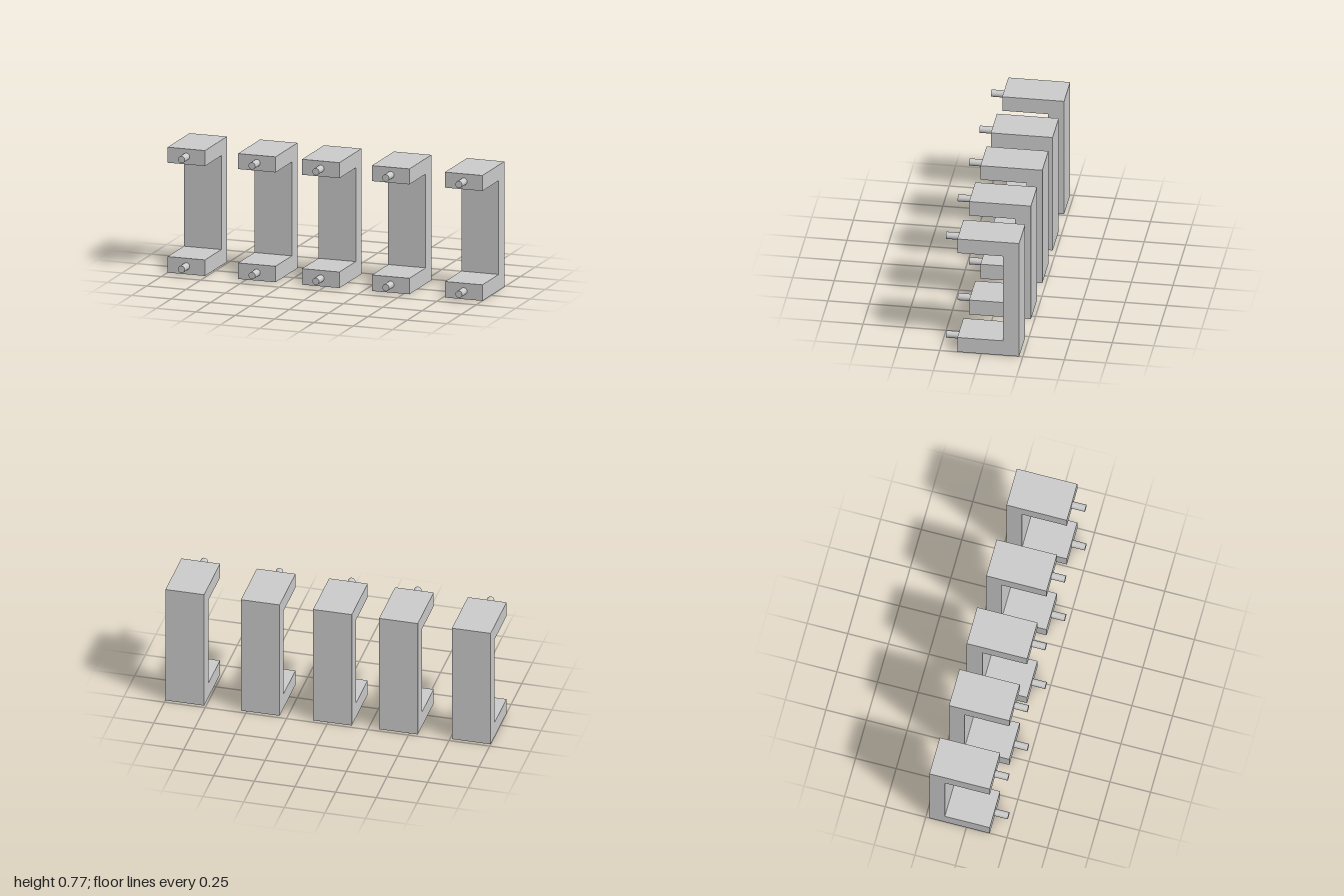
import * as THREE from 'three';

const WIDTH = 0.238;
const CENTERS = [-0.881, -0.433, -0.027, 0.417, 0.881];
const FRONT = 0.144, INNER = -0.132, BACK = -0.228, PIN_TIP = 0.228;
const TOP = 0.768, UPPER = 0.673, LOWER = 0.098;

export function createModel() {
  const group = new THREE.Group();
  group.name = 'bracketRow';
  const material = new THREE.MeshStandardMaterial({ color: 0xcccccc });

  // C-shaped side profile (z, y), extruded across the width
  const profile = new THREE.Shape([
    [BACK, 0], [FRONT, 0], [FRONT, LOWER], [INNER, LOWER],
    [INNER, UPPER], [FRONT, UPPER], [FRONT, TOP], [BACK, TOP],
  ].map(([z, y]) => new THREE.Vector2(z, y)));
  const bodyGeometry = new THREE.ExtrudeGeometry(profile, { depth: WIDTH, bevelEnabled: false });
  bodyGeometry.translate(0, 0, -WIDTH / 2).rotateY(-Math.PI / 2);

  // Round pin pointing forward
  const pinLength = PIN_TIP - FRONT;
  const pinGeometry = new THREE.CylinderGeometry(0.0215, 0.0215, pinLength, 32);
  pinGeometry.rotateX(Math.PI / 2);

  for (const x of CENTERS) {
    const bracket = new THREE.Group();
    bracket.name = 'bracket';
    bracket.position.x = x;

    const body = new THREE.Mesh(bodyGeometry, material);
    body.name = 'bracketBody';
    bracket.add(body);

    // One pin on the end of each arm
    for (const [name, y] of [['lowerPin', 0.049], ['upperPin', 0.721]]) {
      const pin = new THREE.Mesh(pinGeometry, material);
      pin.name = name;
      pin.position.set(0, y, FRONT + pinLength / 2);
      bracket.add(pin);
    }
    group.add(bracket);
  }
  return group;
}
